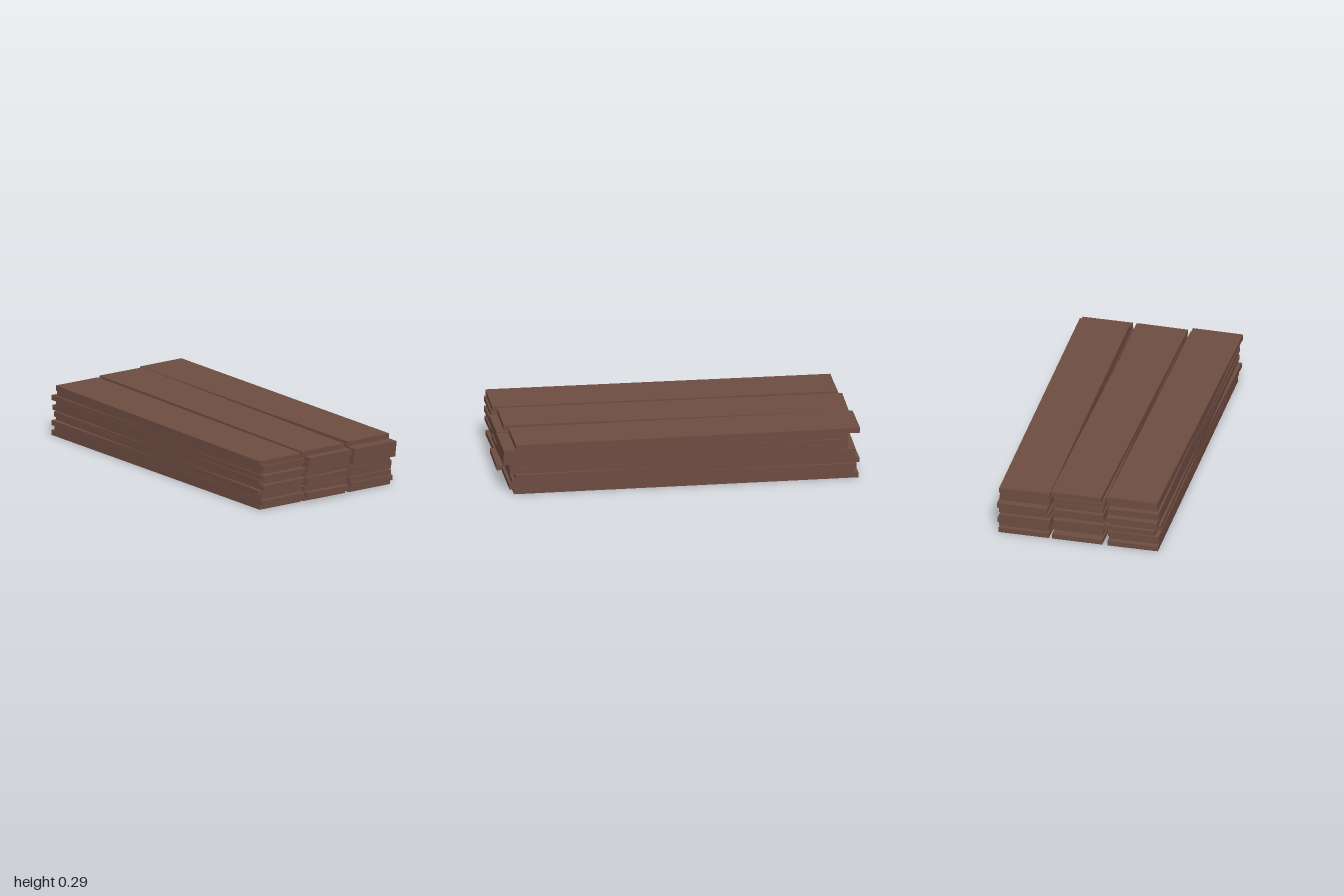
import * as THREE from 'three';

const LENGTH = 1.93, WIDTH = 0.287, THICKNESS = 0.0289;

// One row per layer, bottom to top; per plank: front-end x, sideways drift to the back end, z centre
const LAYERS = [
  [[-0.300, -0.015, -0.025], [0.000, 0.002, -0.025], [0.312, -0.005, -0.025]],
  [[-0.299, -0.018, 0.005], [-0.007, 0.018, 0.025], [0.311, 0.000, 0.000]],
  [[-0.296, -0.022, -0.020], [-0.001, 0.003, -0.010], [0.310, 0.005, -0.015]],
  [[-0.319, 0.027, -0.010], [0.014, -0.017, -0.015], [0.321, -0.022, -0.030]],
  [[-0.297, -0.027, 0.010], [-0.002, 0.005, 0.015], [0.306, 0.003, -0.005]],
  [[-0.309, 0.000, -0.020], [0.002, 0.000, -0.005], [0.299, 0.022, -0.010]],
  [[-0.302, -0.012, 0.015], [-0.006, 0.015, 0.020], [0.307, 0.008, 0.033]],
  [[-0.295, -0.022, -0.020], [-0.001, 0.003, 0.025], [0.309, 0.003, 0.033]],
  [[-0.306, 0.002, 0.015], [0.006, -0.010, 0.030], [0.314, -0.010, 0.033]],
  [[-0.323, 0.018, 0.005], [-0.013, 0.025, -0.015], [0.313, -0.012, -0.035]],
];

export function createModel() {
  const group = new THREE.Group();
  group.name = 'plankStack';
  const wood = new THREE.MeshStandardMaterial({ color: 0x6d4c41 });
  wood.name = 'brown wood';
  const board = new THREE.BoxGeometry(WIDTH, THICKNESS, LENGTH);

  LAYERS.forEach((row, layer) => {
    const layerGroup = new THREE.Group();
    layerGroup.name = `layer${layer + 1}`;
    // Three slightly skewed planks side by side
    row.forEach(([frontX, drift, z], column) => {
      const plank = new THREE.Mesh(board, wood);
      plank.name = ['rightPlank', 'middlePlank', 'leftPlank'][column];
      plank.position.set(frontX + drift / 2, (layer + 0.5) * THICKNESS, z);
      plank.rotation.y = -Math.asin(drift / LENGTH);
      layerGroup.add(plank);
    });
    group.add(layerGroup);
  });
  return group;
}
